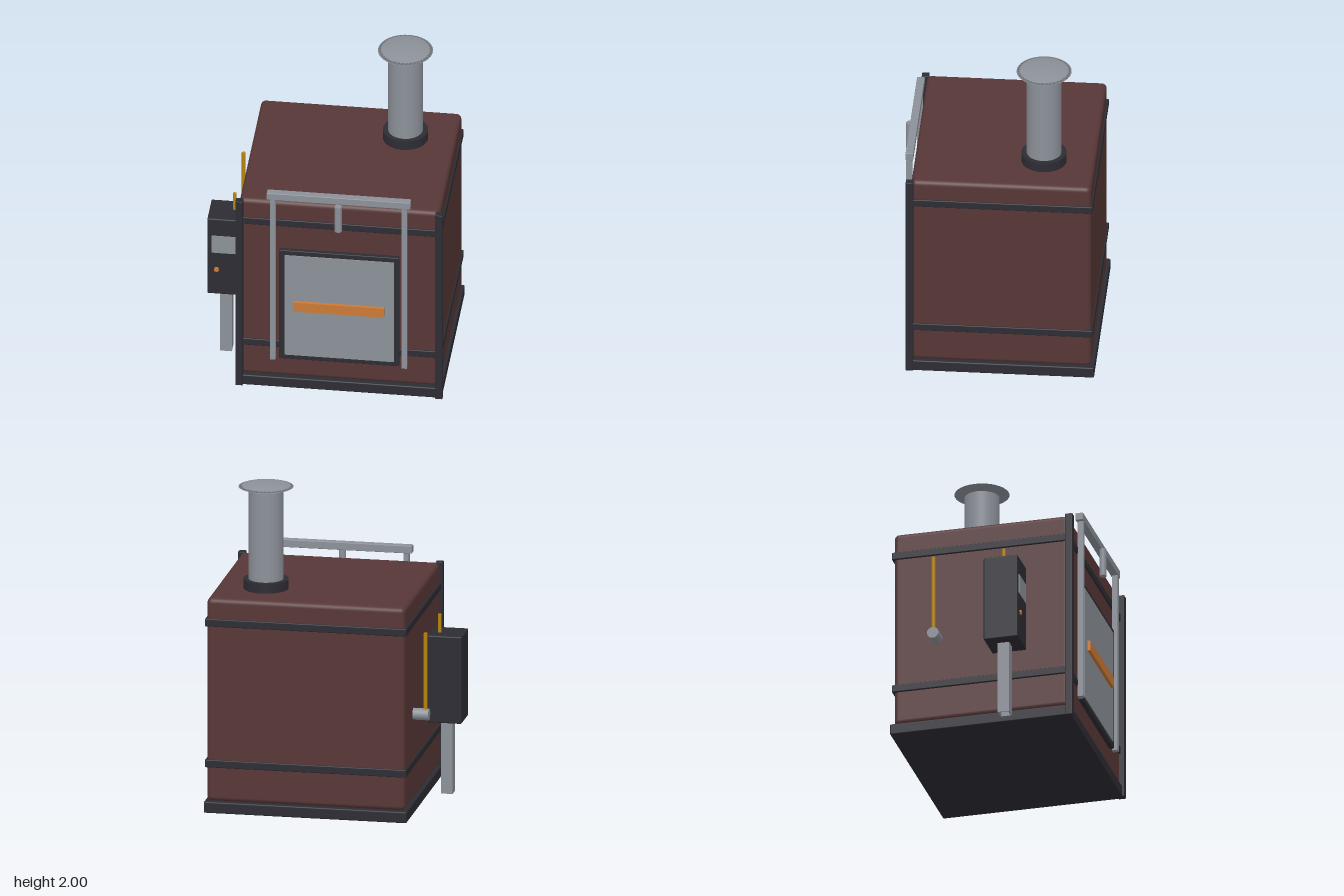
import * as THREE from 'three';
import { RoundedBoxGeometry } from 'three/addons/geometries/RoundedBoxGeometry.js';

const material = (name, color) => {
  const m = new THREE.MeshStandardMaterial({ color });
  m.name = name;
  return m;
};

export function createModel() {
  const model = new THREE.Group();
  model.name = 'furnace';
  const brick = material('brick red', 0x583737);
  const iron = material('dark iron', 0x2c2c33);
  const steel = material('steel', 0x8c9199);
  const copper = material('copper', 0xcd7a35);
  const brass = material('brass', 0xb8860b);

  const add = (name, geometry, mat, x, y, z) => {
    const mesh = new THREE.Mesh(geometry, mat);
    mesh.name = name;
    mesh.position.set(x, y, z);
    model.add(mesh);
    return mesh;
  };
  // box given by its limits on each axis
  const box = (name, mat, [x0, x1], [y0, y1], [z0, z1], radius = 0) => {
    const size = [x1 - x0, y1 - y0, z1 - z0];
    const geometry = radius
      ? new RoundedBoxGeometry(...size, 3, radius)
      : new THREE.BoxGeometry(...size);
    return add(name, geometry, mat, (x0 + x1) / 2, (y0 + y1) / 2, (z0 + z1) / 2);
  };
  const rod = (name, mat, r, y0, y1, x, z, sides = 32) =>
    add(name, new THREE.CylinderGeometry(r, r, y1 - y0, sides), mat, x, (y0 + y1) / 2, z);

  // body, base and corner posts
  box('body', brick, [-0.51, 0.71], [0.07, 1.34], [-0.575, 0.515], 0.03);
  box('base', iron, [-0.525, 0.725], [0, 0.07], [-0.595, 0.535], 0.008);
  for (const x of [-0.508, 0.708]) {
    box('cornerPost', iron, [x - 0.0225, x + 0.0225], [0, 1.34], [0.502, 0.547], 0.004);
  }

  // reinforcing bands
  for (const y of [0.307, 1.19]) {
    box('band', iron, [-0.52, 0.72], [y - 0.024, y + 0.024], [-0.585, 0.525], 0.006);
  }

  // chimney with collar and rain cap
  rod('chimneyCollar', iron, 0.137, 1.335, 1.4, 0.405, -0.267, 40);
  rod('chimneyPipe', steel, 0.106, 1.4, 1.955, 0.405, -0.267, 40);
  const capProfile = [[0, 0], [0.167, 0], [0.145, 0.007], [0.105, 0.015], [0.06, 0.022], [0, 0.024]]
    .map(([r, y]) => new THREE.Vector2(r, y));
  add('chimneyCap', new THREE.LatheGeometry(capProfile, 40), steel, 0.405, 1.976, -0.267);

  // sliding door
  box('doorFrame', iron, [-0.265, 0.467], [0.215, 1.005], [0.5, 0.542], 0.005);
  box('doorPanel', steel, [-0.231, 0.435], [0.248, 0.973], [0.53, 0.547]);
  box('doorHandle', copper, [-0.177, 0.377], [0.58, 0.645], [0.54, 0.566]);

  // lifting rails, cross bar and counterweight
  for (const x of [-0.301, 0.5]) {
    box('rail', steel, [x - 0.016, x + 0.016], [0.215, 1.385], [0.524, 0.56]);
  }
  box('crossBar', steel, [-0.338, 0.537], [1.38, 1.428], [0.516, 0.563], 0.004);
  rod('counterweight', steel, 0.022, 1.197, 1.375, 0.1, 0.572, 20);

  // control box on the right side
  box('controlBox', iron, [-0.737, -0.525], [0.46, 1.005], [0.047, 0.26], 0.008);
  box('controlScreen', steel, [-0.71, -0.553], [0.762, 0.885], [0.257, 0.264]);
  add('controlKnob', new THREE.CylinderGeometry(0.015, 0.015, 0.014, 16), copper, -0.68, 0.642, 0.263)
    .rotation.x = Math.PI / 2;
  rod('controlPipe', brass, 0.011, 0.99, 1.12, -0.585, 0.135, 12);
  add('connector', new THREE.CylinderGeometry(0.035, 0.035, 0.05, 20), steel, -0.517, 0.74, 0.135)
    .rotation.z = Math.PI / 2;

  // hollow square leg under the control box
  const square = (PathType, h) => new PathType([
    new THREE.Vector2(-h, -h), new THREE.Vector2(h, -h),
    new THREE.Vector2(h, h), new THREE.Vector2(-h, h),
  ]);
  const legShape = square(THREE.Shape, 0.036);
  legShape.holes.push(square(THREE.Path, 0.029));
  const leg = new THREE.ExtrudeGeometry(legShape, { depth: 0.465, bevelEnabled: false });
  leg.rotateX(-Math.PI / 2);
  add('controlLeg', leg, steel, -0.632, 0, 0.153);

  // side valve with an upright brass rod
  add('valve', new THREE.CylinderGeometry(0.036, 0.036, 0.1, 20), steel, -0.557, 0.61, -0.305)
    .rotation.z = Math.PI / 2;
  rod('valveRod', brass, 0.012, 0.61, 1.12, -0.585, -0.305, 12);

  return model;
}
